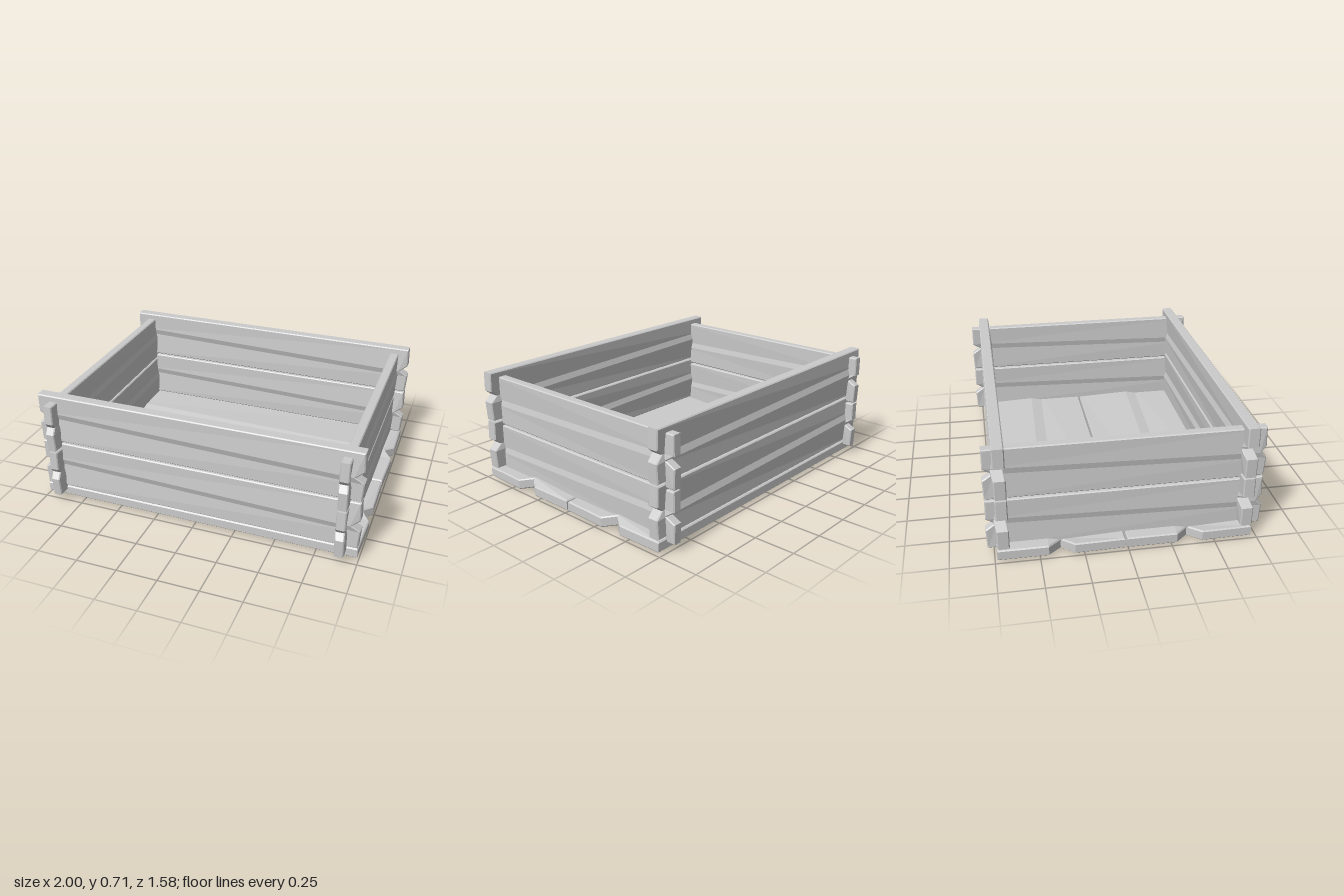
import * as THREE from 'three';

const material = new THREE.MeshStandardMaterial({ color: 0xcccccc, flatShading: true });

// A board lying along x, with a V notch in each end. The notch tips are
// pushed sideways in opposite directions, so the board looks hand hewn.
function board({ name, half, width, thickness, notch, tipA, tipB, twist, bevel = 0.006 }) {
  const w = width / 2;
  const shape = new THREE.Shape([
    [-half + 0.005, -w], [half - 0.008, -w],
    [half, -notch], [tipB, 0], [half - 0.004, notch], [half - 0.008, w],
    [-half + 0.005, w], [-half + 0.004, notch], [tipA, 0], [-half, -notch],
  ].map(([x, y]) => new THREE.Vector2(x, y)));
  const geometry = new THREE.ExtrudeGeometry(shape, {
    depth: thickness - 2 * bevel, steps: 1,
    bevelEnabled: true, bevelSegments: 1,
    bevelThickness: bevel, bevelSize: bevel, bevelOffset: -bevel,
  });
  geometry.translate(0, 0, bevel - thickness / 2);
  const p = geometry.attributes.position;
  for (let i = 0; i < p.count; i++) {
    if (Math.abs(p.getY(i)) < 0.012) p.setZ(i, p.getZ(i) + Math.sign(p.getX(i)) * twist);
  }
  geometry.computeVertexNormals();
  const mesh = new THREE.Mesh(geometry, material);
  mesh.name = name;
  return mesh;
}

export function createModel() {
  const crate = new THREE.Group();
  crate.name = 'crate';

  // Front and back walls, two boards each
  for (const [side, z] of [['front', 0.682], ['back', -0.699]]) {
    for (const [level, y] of [['Lower', 0.245], ['Upper', 0.5625]]) {
      const b = board({
        name: side + level + 'Board', half: 0.997, width: 0.307, thickness: 0.068,
        notch: 0.036, tipA: -0.92, tipB: 0.947, twist: 0.012,
      });
      b.position.set(0, y, z);
      crate.add(b);
    }
  }

  // Side walls, set slightly lower and running through the front and back
  for (const [side, x] of [['left', 0.898], ['right', -0.893]]) {
    for (const [level, y] of [['Lower', 0.211], ['Upper', 0.527]]) {
      const b = board({
        name: side + level + 'Board', half: 0.791, width: 0.306, thickness: 0.056,
        notch: 0.035, tipA: -0.735, tipB: 0.757, twist: 0.008,
      });
      b.rotation.y = -Math.PI / 2;
      b.position.set(x, y, 0);
      crate.add(b);
    }
  }

  // Two floor boards
  for (const [side, z, width] of [['front', 0.351, 0.722], ['back', -0.378, 0.716]]) {
    const b = board({
      name: side + 'FloorBoard', half: 1, width, thickness: 0.064,
      notch: 0.073, tipA: -0.917, tipB: 0.943, twist: 0.015, bevel: 0.007,
    });
    b.rotation.x = -Math.PI / 2;
    b.position.set(0, 0.053, z);
    crate.add(b);
  }

  return crate;
}
